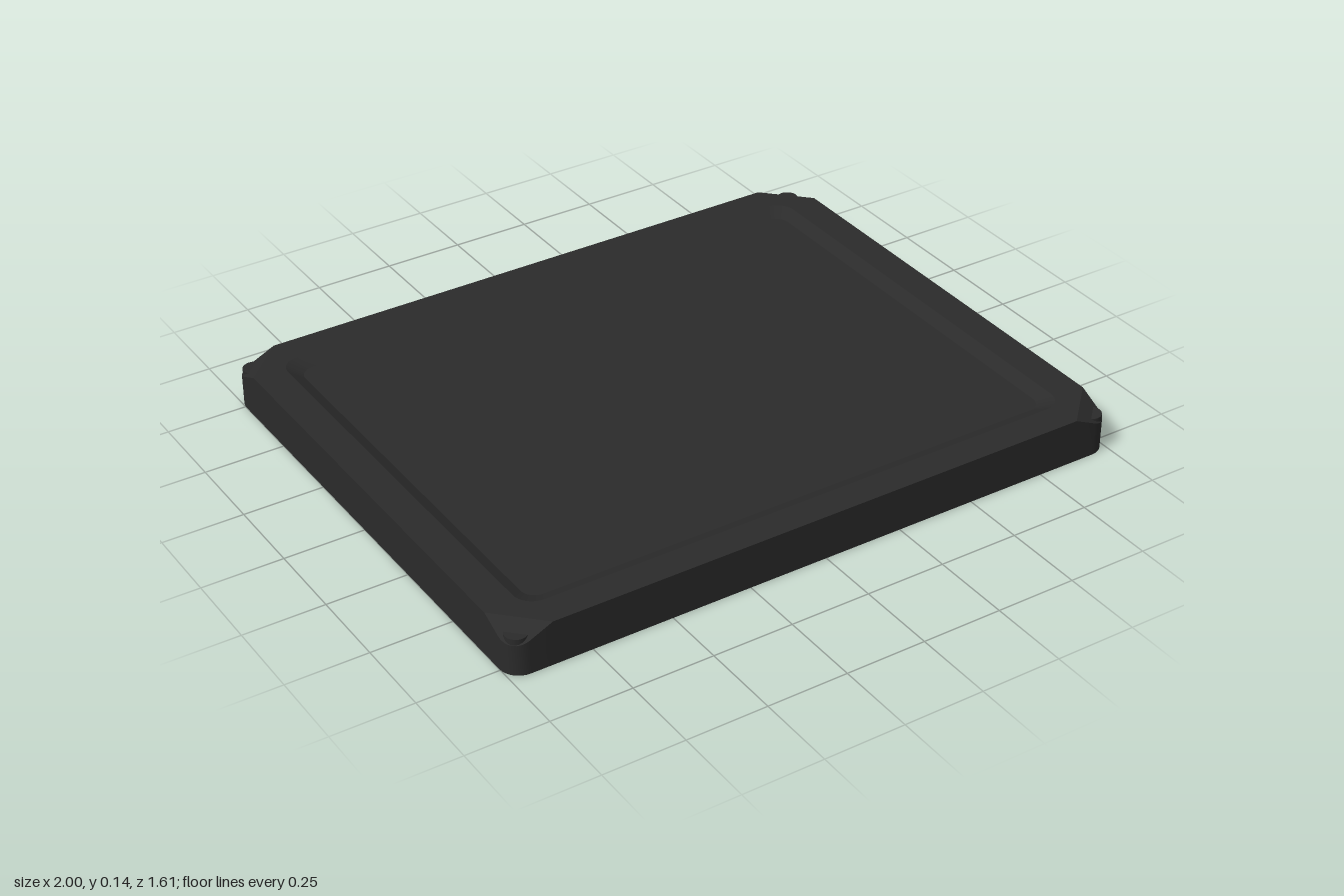
import * as THREE from 'three';
import { toCreasedNormals } from 'three/addons/utils/BufferGeometryUtils.js';

const W = 1, D = 0.805, H = 0.14; // half width, half depth, height
const CUT = 0.13;                 // how far each corner chamfer reaches along the edges
const SLOPE = 0.47;               // fall of the corner chamfers

// Rounded rectangle as [x, z] points; each corner is a lead-in point, an arc and a lead-out point
function outline(w, d, r, lead) {
  const corner = [[w, d - lead]];
  for (let i = 0; i <= 8; i++) {
    const a = (i / 8) * Math.PI / 2;
    corner.push([w - r + r * Math.cos(a), d - r + r * Math.sin(a)]);
  }
  corner.push([w - lead, d]);
  return [[1, 1], [-1, 1], [-1, -1], [1, -1]].flatMap(([sx, sz]) => {
    const pts = corner.map(([x, z]) => [x * sx, z * sz]);
    return sx * sz < 0 ? pts.reverse() : pts;
  });
}

// Skin between two rings of [x, y, z] points, leaving out places where they meet
function band(from, to) {
  const pos = [], n = from.length;
  const same = (p, q) => Math.hypot(p[0] - q[0], p[1] - q[1], p[2] - q[2]) < 1e-6;
  const tri = (a, b, c) => {
    if (!same(a, b) && !same(b, c) && !same(c, a)) pos.push(...a, ...b, ...c);
  };
  for (let i = 0; i < n; i++) {
    const j = (i + 1) % n;
    tri(from[i], to[i], to[j]);
    tri(from[i], to[j], from[j]);
  }
  const g = new THREE.BufferGeometry();
  g.setAttribute('position', new THREE.Float32BufferAttribute(pos, 3));
  return toCreasedNormals(g, 0.3);
}

export function createModel() {
  const model = new THREE.Group();
  model.name = 'tray';
  const charcoal = new THREE.MeshStandardMaterial({ color: 0x2b2b2b, side: THREE.DoubleSide });
  charcoal.name = 'charcoal';
  const add = (name, geometry) => {
    const mesh = new THREE.Mesh(geometry, charcoal);
    mesh.name = name;
    model.add(mesh);
    return mesh;
  };

  // Rings from the foot of the wall to the middle of the panel
  const outer = outline(W, D, 0.06, CUT);
  const past = ([x, z]) => Math.max(0, Math.abs(x) + Math.abs(z) - (W + D - CUT));
  const foot = outer.map(([x, z]) => [x, 0, z]);
  const wallTop = outer.map(p => [p[0], H - SLOPE * past(p), p[1]]);
  const rimEdge = outer.map(p => {
    const s = past(p) / 2;
    return [p[0] - Math.sign(p[0]) * s, H, p[1] - Math.sign(p[1]) * s];
  });
  const lip = outline(0.9, 0.71, 0.06, 0.1).map(([x, z]) => [x, H, z]);
  const panelEdge = outline(0.86, 0.665, 0.045, 0.1).map(([x, z]) => [x, H - 0.02, z]);
  const middle = panelEdge.map(() => [0, H - 0.02, 0]);

  // Open-bottomed shell
  add('outerWall', band(foot, wallTop));
  add('cornerChamfers', band(wallTop, rimEdge));
  add('rim', band(rimEdge, lip));
  add('recessSlope', band(lip, panelEdge));
  add('recessedPanel', band(panelEdge, middle));

  // Small round pegs set in the corners
  const pegShape = new THREE.CylinderGeometry(0.034, 0.034, 0.065, 20);
  for (const sx of [-1, 1]) for (const sz of [-1, 1]) {
    add('cornerPeg', pegShape).position.set(sx * 0.957, 0.0825, sz * 0.763);
  }
  return model;
}
